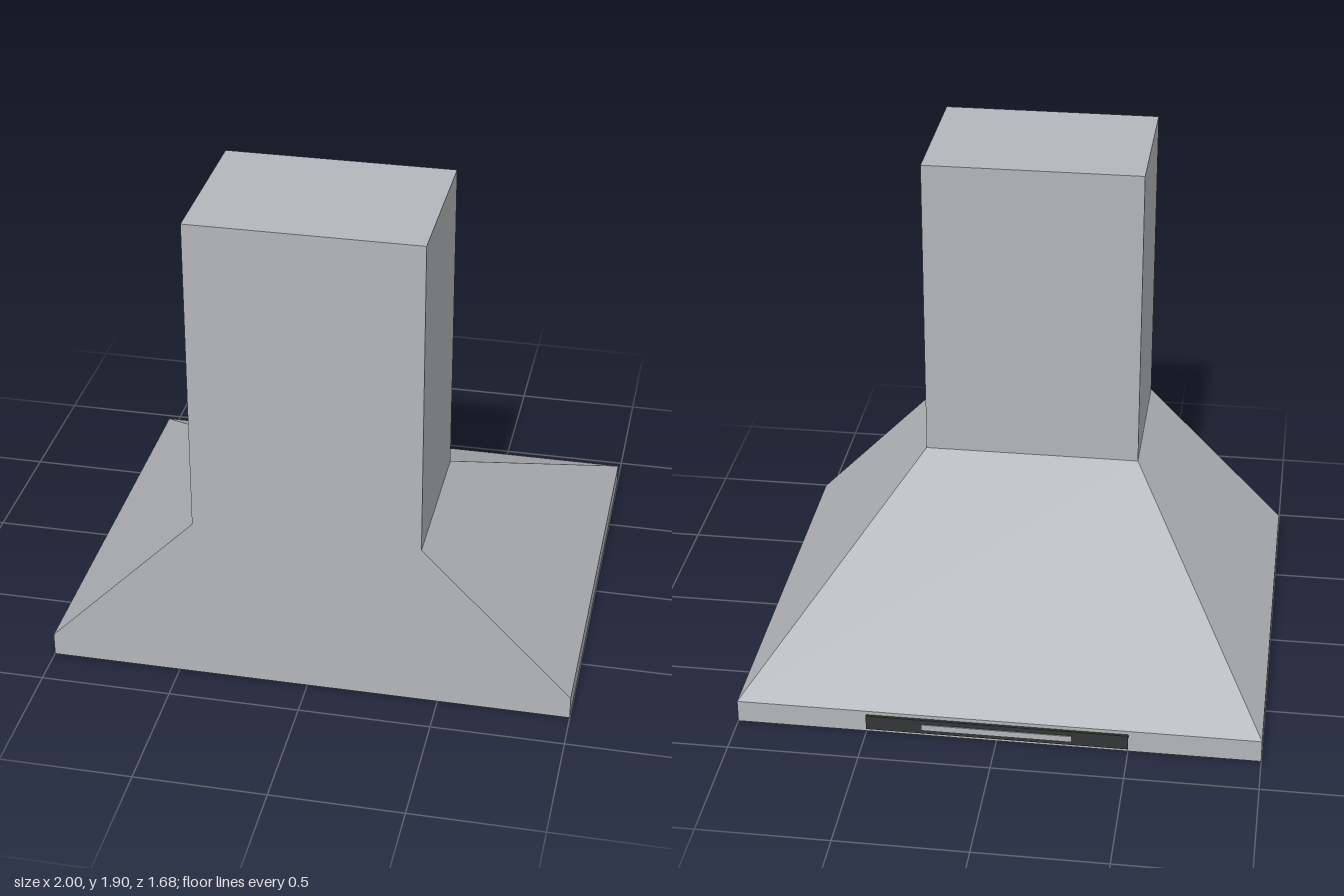
import * as THREE from 'three';

const mat = (name, color) => {
  const m = new THREE.MeshStandardMaterial({ color });
  m.name = name;
  return m;
};

export function createModel() {
  const steel = mat('brushed steel', 0xb3b6ba);
  const black = mat('black trim', 0x343536);
  const filterGrey = mat('filter grey', 0x5f6266);
  const slotBlack = mat('slot black', 0x2c2d2e);
  const lampGlass = mat('warm lamp glass', 0xcbb999);

  const group = new THREE.Group();
  group.name = 'cookerHood';

  const add = (name, geometry, material) => {
    const mesh = new THREE.Mesh(geometry, material);
    mesh.name = name;
    group.add(mesh);
    return mesh;
  };
  // Box given by its limits on each axis
  const box = (name, [x0, x1], [y0, y1], [z0, z1], material) => {
    const g = new THREE.BoxGeometry(x1 - x0, y1 - y0, z1 - z0);
    g.translate((x0 + x1) / 2, (y0 + y1) / 2, (z0 + z1) / 2);
    return add(name, g, material);
  };

  const wall = 0.842, lip = -0.828;      // flat wall side and projecting edge
  const rimTop = 0.09, neck = 0.67, top = 1.9;
  const ductX = 0.43, ductZ = 0.21;

  // Rim: steel band with a black underside around the filter opening
  const rimShape = new THREE.Shape([
    new THREE.Vector2(-1, lip), new THREE.Vector2(1, lip),
    new THREE.Vector2(1, wall), new THREE.Vector2(-1, wall),
  ]);
  rimShape.holes.push(new THREE.Path([
    new THREE.Vector2(-0.9, -0.72), new THREE.Vector2(-0.9, 0.74),
    new THREE.Vector2(0.9, 0.74), new THREE.Vector2(0.9, -0.72),
  ]));
  const rim = new THREE.ExtrudeGeometry(rimShape, { depth: rimTop, bevelEnabled: false });
  rim.rotateX(Math.PI / 2).translate(0, rimTop, 0);
  add('rim', rim, [black, steel]);

  // Canopy: box tapered to the duct on three sides, flush with the wall
  const canopy = new THREE.BoxGeometry(2, neck - rimTop, wall - lip).toNonIndexed();
  canopy.translate(0, (neck + rimTop) / 2, (wall + lip) / 2);
  const p = canopy.attributes.position;
  for (let i = 0; i < p.count; i++) {
    if (p.getY(i) < neck - 0.01) continue;
    p.setX(i, Math.sign(p.getX(i)) * ductX);
    if (p.getZ(i) < 0) p.setZ(i, ductZ);
  }
  canopy.computeVertexNormals();
  add('canopy', canopy, steel);

  // Chimney duct
  box('chimney', [-ductX, ductX], [neck, top], [ductZ, wall], steel);

  // Underside filter panel, slightly recessed
  box('filterPanel', [-0.9, 0.9], [0.006, 0.03], [-0.72, 0.74], filterGrey);
  [-0.45, -0.11, 0.23, 0.57].forEach((z) =>
    box('filterSlot', [-0.85, 0.85], [0.004, 0.007], [z - 0.012, z + 0.012], slotBlack));

  // Pair of square lamps
  [-1, 1].forEach((s) =>
    box(s > 0 ? 'leftLamp' : 'rightLamp',
      [s * 0.56 - 0.178, s * 0.56 + 0.178], [0.002, 0.008], [-0.56, -0.215], lampGlass));

  // Control strip on the projecting edge
  box('controlPanel', [-0.5, 0.5], [0.015, 0.075], [-0.838, lip], black);
  box('controlDisplay', [-0.285, 0.285], [0.033, 0.056], [-0.842, -0.837], steel);

  return group;
}
